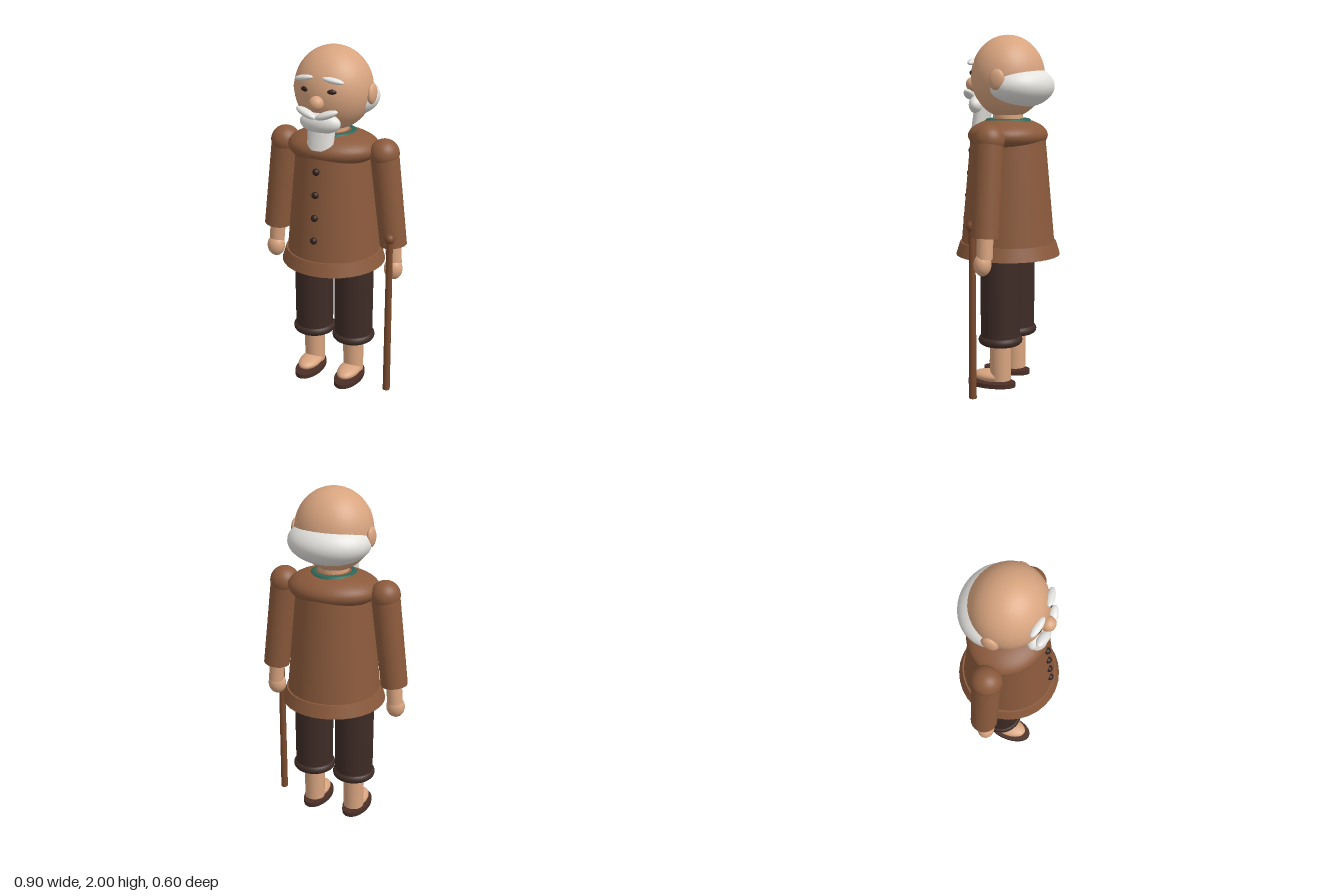
import * as THREE from 'three';

const mat = (name, color) => {
  const m = new THREE.MeshStandardMaterial({ color });
  m.name = name;
  return m;
};

export function createModel() {
  const skin = mat('skin', 0xd8a47f);
  const coatBrown = mat('coat brown', 0x8b5a3c);
  const white = mat('white hair', 0xe4e2de);
  const trouserBrown = mat('trouser brown', 0x3e2b26);
  const dark = mat('dark brown', 0x33201a);
  const leather = mat('sandal leather', 0x4a2f26);
  const wood = mat('cane wood', 0x7a4a2e);
  const teal = mat('teal collar', 0x2f6658);

  const model = new THREE.Group();
  model.name = 'oldMan';

  const add = (name, geometry, material, pos, rot = [0, 0, 0], scale = [1, 1, 1]) => {
    const mesh = new THREE.Mesh(geometry, material);
    mesh.name = name;
    mesh.position.set(...pos);
    mesh.rotation.set(...rot);
    mesh.scale.set(...scale);
    model.add(mesh);
    return mesh;
  };
  const ball = new THREE.SphereGeometry(1, 40, 28);
  const ellipsoid = (name, material, pos, radii, rot) => add(name, ball, material, pos, rot, radii);
  // Tapered round limb between two points
  const limb = (name, material, from, to, r0, r1, depth = 1) => {
    const a = new THREE.Vector3(...from), b = new THREE.Vector3(...to);
    const dir = b.clone().sub(a);
    const mesh = add(name, new THREE.CylinderGeometry(r1, r0, dir.length(), 32), material,
      a.clone().add(b).multiplyScalar(0.5).toArray());
    mesh.quaternion.setFromUnitVectors(new THREE.Vector3(0, 1, 0), dir.normalize());
    mesh.scale.z = depth;
    return mesh;
  };

  // Head and neck
  ellipsoid('head', skin, [0, 1.768, 0], [0.22, 0.232, 0.208]);
  limb('neck', skin, [0, 1.46, 0], [0, 1.6, 0], 0.085, 0.085);
  ellipsoid('hairFringe', white, [0, 1.715, -0.06], [0.235, 0.125, 0.202]);
  ellipsoid('nose', skin, [0, 1.725, 0.213], [0.041, 0.041, 0.041]);

  // Beard
  ellipsoid('beard', white, [0, 1.61, 0.168], [0.12, 0.06, 0.054]);
  limb('beardTip', white, [0, 1.455, 0.174], [0, 1.6, 0.148], 0.076, 0.082, 0.58);

  // Coat with flared hem, shoulder yoke and collar
  limb('coat', coatBrown, [0, 0.8, 0], [0, 1.445, 0], 0.27, 0.212);
  limb('coatHem', coatBrown, [0, 0.755, 0], [0, 0.83, 0], 0.3, 0.277);
  ellipsoid('shoulderYoke', coatBrown, [0, 1.44, 0], [0.265, 0.1, 0.222]);
  add('collar', new THREE.TorusGeometry(0.11, 0.025, 16, 48), teal, [0, 1.51, 0], [Math.PI / 2, 0, 0]);
  for (let i = 0; i < 4; i++) {
    ellipsoid('button' + (i + 1), dark, [0, 1.345 - i * 0.131, 0.222 + i * 0.0115], [0.02, 0.02, 0.02]);
  }

  // Mirrored parts
  for (const [side, s] of [['left', 1], ['right', -1]]) {
    // Face
    ellipsoid(side + 'Ear', skin, [s * 0.223, 1.752, -0.012], [0.022, 0.057, 0.046], [-0.15, 0, 0]);
    ellipsoid(side + 'Eye', dark, [s * 0.08, 1.79, 0.187], [0.026, 0.014, 0.014], [0, s * 0.35, 0]);
    ellipsoid(side + 'Eyebrow', white, [s * 0.087, 1.85, 0.186], [0.06, 0.016, 0.022], [0, s * 0.2, -s * 0.18]);
    ellipsoid(side + 'Moustache', white, [s * 0.06, 1.668, 0.214], [0.067, 0.021, 0.028], [0, s * 0.15, s * 0.35]);

    // Arm
    ellipsoid(side + 'Shoulder', coatBrown, [s * 0.307, 1.43, 0], [0.083, 0.083, 0.086]);
    limb(side + 'Sleeve', coatBrown, [s * 0.373, 0.903, 0], [s * 0.307, 1.43, 0], 0.076, 0.08);
    limb(side + 'Wrist', skin, [s * 0.38, 0.79, 0], [s * 0.368, 0.94, 0], 0.044, 0.046);
    ellipsoid(side + 'Hand', skin, [s * 0.38, 0.76, 0.012], [0.054, 0.064, 0.048]);

    // Leg
    const x = s * 0.13;
    limb(side + 'TrouserLeg', trouserBrown, [x, 0.265, 0], [x, 0.82, 0], 0.112, 0.115);
    add(side + 'TrouserCuff', new THREE.TorusGeometry(0.099, 0.027, 16, 40), trouserBrown,
      [x, 0.278, 0], [Math.PI / 2, 0, 0]);
    limb(side + 'Shin', skin, [x, 0.04, 0], [x, 0.3, 0], 0.06, 0.062);
    ellipsoid(side + 'Foot', skin, [x, 0.057, 0.053], [0.064, 0.036, 0.113]);
    add(side + 'SandalSole', new THREE.CylinderGeometry(1, 1, 0.026, 40), leather,
      [x, 0.013, 0.055], [0, 0, 0], [0.077, 1, 0.143]);
  }

  // Walking cane
  limb('cane', wood, [0.38, 0, 0.072], [0.38, 0.96, 0.072], 0.021, 0.018);
  ellipsoid('caneKnob', wood, [0.38, 0.965, 0.075], [0.029, 0.029, 0.029]);

  return model;
}
